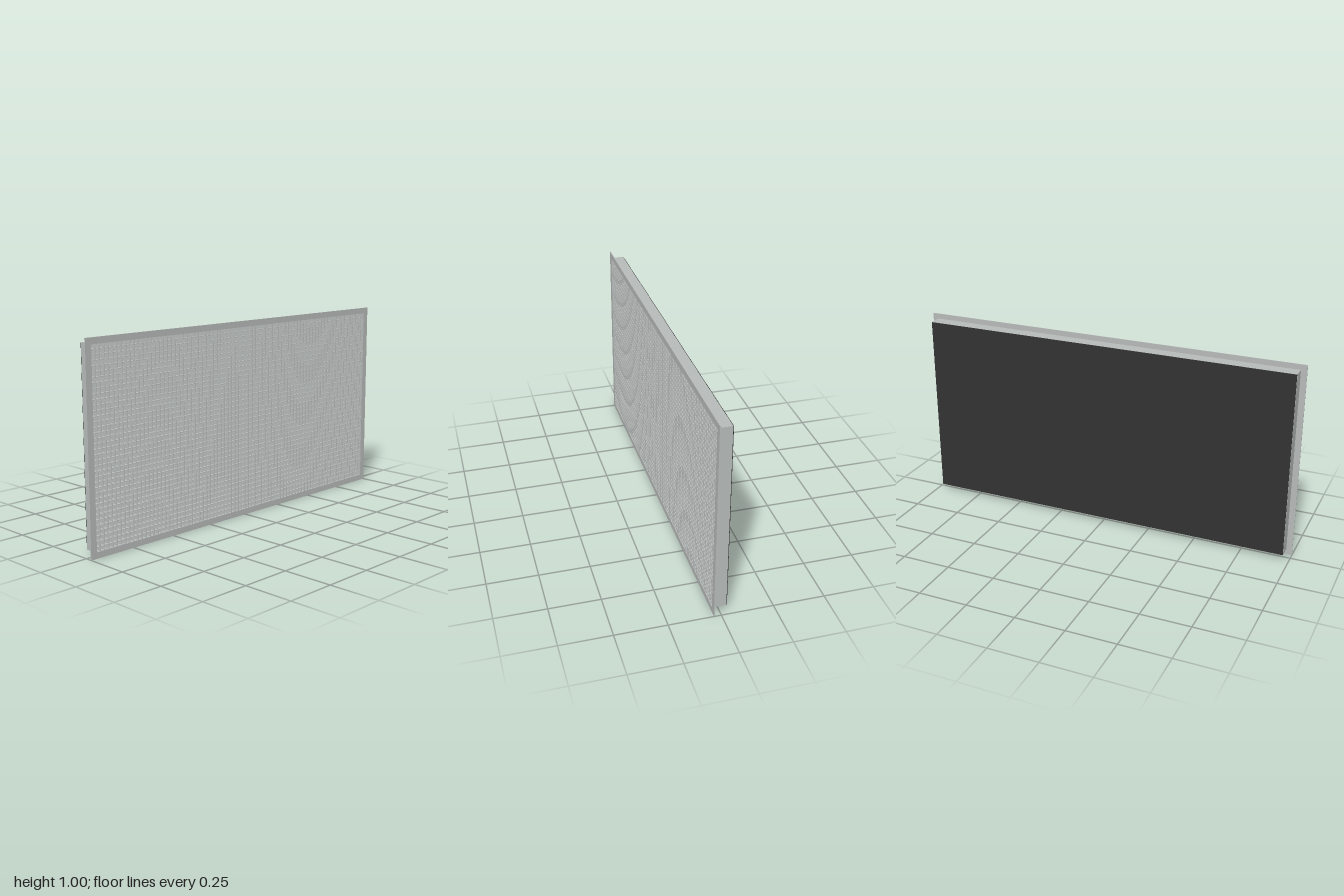
import * as THREE from 'three';

const W = 1.94, BOTTOM = 0.028, TOP = 0.973; // casing opening
const H = TOP - BOTTOM, MID = (TOP + BOTTOM) / 2;
const FRONT = 0.0355, BACK = -0.0355;

export function createModel() {
  const metal = new THREE.MeshStandardMaterial({ color: 0xb6bab9 });
  metal.name = 'grey metal';
  const black = new THREE.MeshStandardMaterial({ color: 0x323232 });
  black.name = 'black backing';

  const model = new THREE.Group();
  model.name = 'eggcrateGrille';

  const add = (parent, name, geometry, material, x, y, z) => {
    const mesh = new THREE.Mesh(geometry, material);
    mesh.name = name;
    mesh.position.set(x, y, z);
    parent.add(mesh);
    return mesh;
  };

  // Rectangular ring extruded along z
  const ring = (w, h, iw, ih, depth) => {
    const rect = (Type, a, b) => new Type([
      new THREE.Vector2(-a / 2, -b / 2), new THREE.Vector2(a / 2, -b / 2),
      new THREE.Vector2(a / 2, b / 2), new THREE.Vector2(-a / 2, b / 2),
    ]);
    const shape = rect(THREE.Shape, w, h);
    shape.holes.push(rect(THREE.Path, iw, ih));
    return new THREE.ExtrudeGeometry(shape, { depth, bevelEnabled: false });
  };

  // Thin flange around the front, and the casing walls behind it
  const t = 0.003, flange = 0.004;
  add(model, 'frontFlange', ring(2, 1, W - 2 * t, H - 2 * t, flange), metal, 0, 0.5, FRONT - flange);
  const wallBack = BACK + 0.003;
  add(model, 'casingWalls', ring(W, H, W - 2 * t, H - 2 * t, FRONT - flange - wallBack), metal, 0, MID, wallBack);

  // Closed floor of the casing with a dark sheet on its back
  add(model, 'casingFloor', new THREE.BoxGeometry(W - 2 * t, H - 2 * t, 0.003), metal, 0, MID, wallBack + 0.0015);
  add(model, 'backSheet', new THREE.BoxGeometry(W - 0.002, H - 0.002, 0.003), black, 0, MID, BACK + 0.0015);

  // Eggcrate core: crossing upright and level blades
  const core = new THREE.Group();
  core.name = 'eggcrateCore';
  model.add(core);
  const columns = 78, rows = 38, blade = 0.002;
  const z0 = wallBack + 0.003, z1 = FRONT - 0.001;
  const depth = z1 - z0, z = (z0 + z1) / 2;
  const upright = new THREE.BoxGeometry(blade, H - 2 * t, depth);
  const level = new THREE.BoxGeometry(W - 2 * t, blade, depth);
  for (let i = 1; i < columns; i++) {
    add(core, 'uprightBlade', upright, metal, -W / 2 + (W * i) / columns, MID, z);
  }
  for (let j = 1; j < rows; j++) {
    add(core, 'levelBlade', level, metal, 0, BOTTOM + (H * j) / rows, z);
  }

  return model;
}
